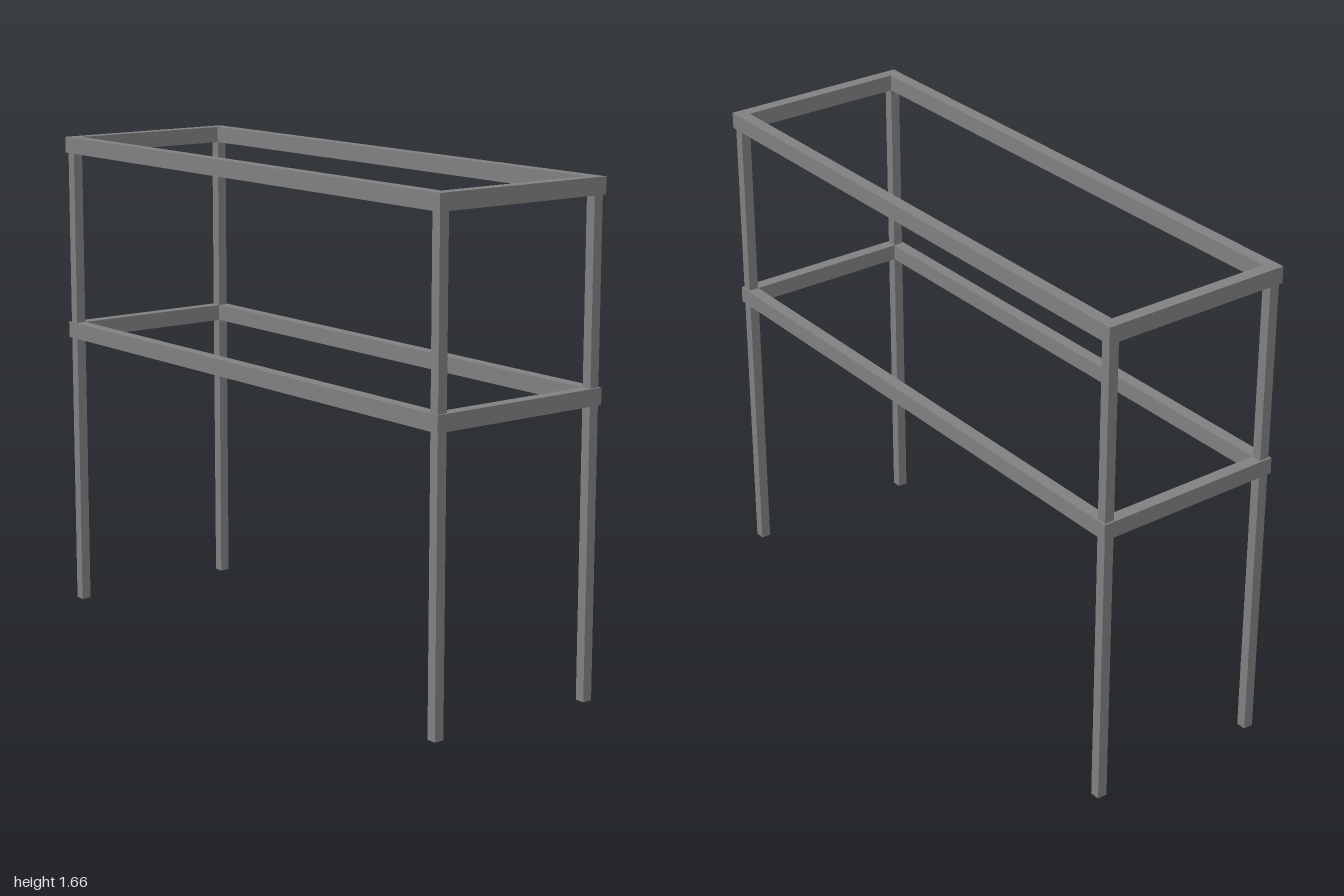
import * as THREE from 'three';

const X = 1, Z = 0.332;        // half length and half depth of the frames
const RAIL = 0.042, RAIL_H = 0.055, LEG = 0.034;
const LEG_INSET = 0.024;       // from the frame's outer faces to the leg centre
const LOWER_Y = 0.955, UPPER_Y = 1.608;

const material = new THREE.MeshStandardMaterial({ color: 0x808080, flatShading: true });

function rectangle(PathType, x, z) {
  return new PathType([[-x, -z], [x, -z], [x, z], [-x, z]].map(([a, b]) => new THREE.Vector2(a, b)));
}

// Rectangular ring of rails, lying flat with its underside at y
function frame(name, y) {
  const shape = rectangle(THREE.Shape, X, Z);
  shape.holes.push(rectangle(THREE.Path, X - RAIL, Z - RAIL));
  const geometry = new THREE.ExtrudeGeometry(shape, { depth: RAIL_H, bevelEnabled: false });
  geometry.rotateX(-Math.PI / 2);
  const mesh = new THREE.Mesh(geometry, material);
  mesh.name = name;
  mesh.position.y = y;
  return mesh;
}

export function createModel() {
  const model = new THREE.Group();
  model.name = 'rackFrame';
  model.add(frame('lowerFrame', LOWER_Y), frame('upperFrame', UPPER_Y));

  // Square corner legs, running through the lower frame up to the upper one
  const legGeometry = new THREE.BoxGeometry(LEG, UPPER_Y, LEG);
  for (const sx of [-1, 1]) {
    for (const sz of [-1, 1]) {
      const leg = new THREE.Mesh(legGeometry, material);
      leg.name = (sz > 0 ? 'front' : 'back') + (sx > 0 ? 'Left' : 'Right') + 'Leg';
      leg.position.set(sx * (X - LEG_INSET), UPPER_Y / 2, sz * (Z - LEG_INSET));
      model.add(leg);
    }
  }
  return model;
}
